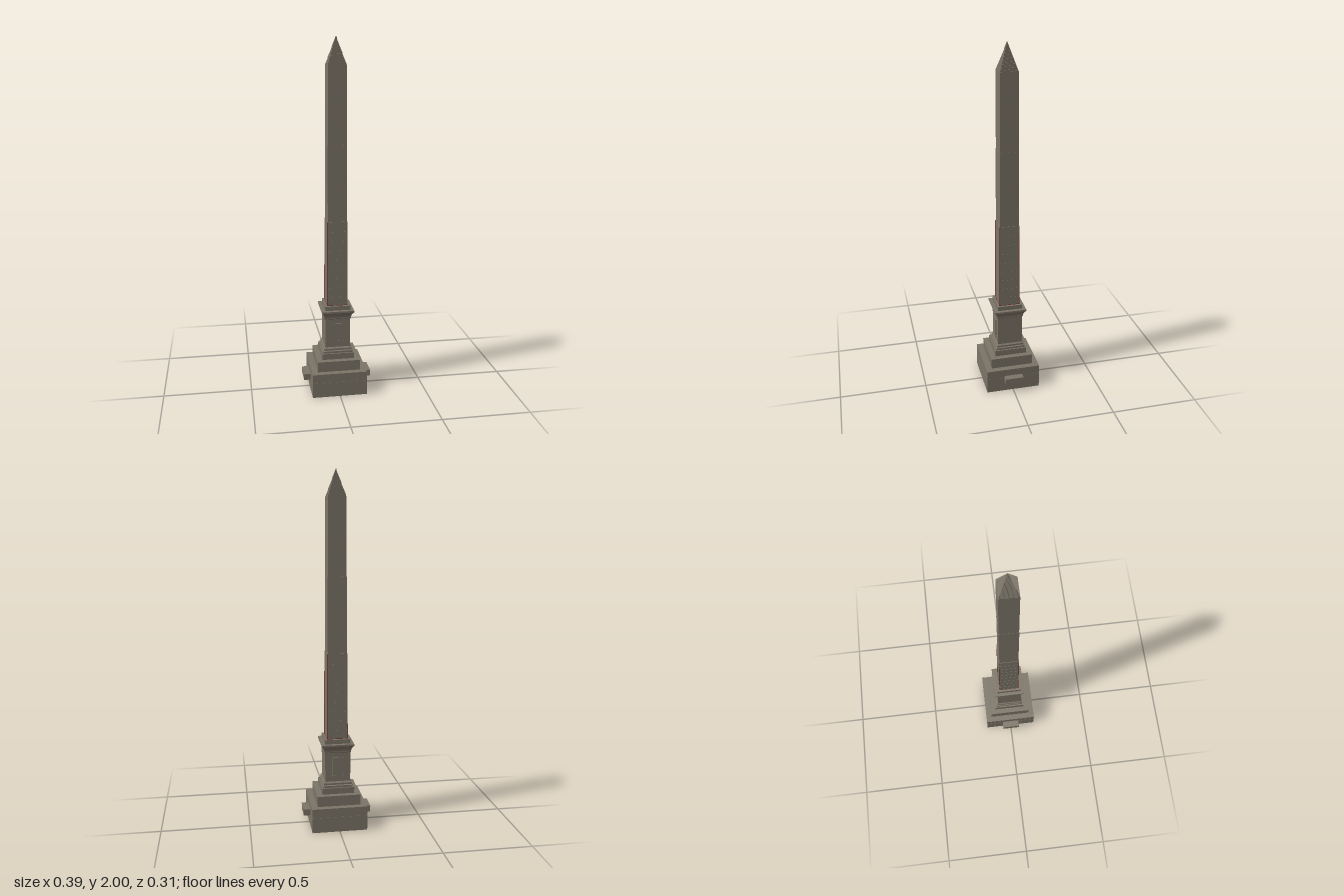
import * as THREE from 'three';

const stone = new THREE.MeshStandardMaterial({ color: 0x7b7467 });
stone.name = 'weathered stone';
const red = new THREE.MeshStandardMaterial({ color: 0x7a1f1a });
red.name = 'dark red trim';

// Square solid of revolution: profile is [half width, y] from bottom to top
function squareLathe(name, profile, material = stone) {
  const points = profile.map(([w, y]) => new THREE.Vector2(w * Math.SQRT2, y));
  const geometry = new THREE.LatheGeometry(points, 4, Math.PI / 4).toNonIndexed();
  geometry.computeVertexNormals();
  const mesh = new THREE.Mesh(geometry, material);
  mesh.name = name;
  return mesh;
}

function box(name, w, h, d, x, y, z, material = stone) {
  const mesh = new THREE.Mesh(new THREE.BoxGeometry(w, h, d), material);
  mesh.name = name;
  mesh.position.set(x, y, z);
  return mesh;
}

export function createModel() {
  const group = new THREE.Group();
  group.name = 'obelisk';
  const body = new THREE.Group();
  body.name = 'monument';
  body.position.set(-0.0015, 0, -0.001);
  group.add(body);

  // Stepped base, the lowest tier with a grooved joint
  body.add(
    squareLathe('baseTier', [
      [0, 0], [0.1565, 0], [0.1565, 0.087], [0.1553, 0.087], [0.1553, 0.09],
      [0.1565, 0.09], [0.1565, 0.14], [0, 0.14],
    ]),
    box('secondStep', 0.245, 0.06, 0.245, 0, 0.17, 0),
    box('thirdStep', 0.184, 0.035, 0.184, 0, 0.2175, 0),
  );

  // Projecting blocks on the two sides
  for (const s of [-1, 1]) {
    body.add(box('sideBlock', 0.05, 0.036, 0.105, s * 0.1695, 0.081, 0));
  }

  // Pedestal with foot moulding and hollow cornice
  body.add(squareLathe('pedestal', [
    [0, 0.235], [0.084, 0.235], [0.084, 0.246], [0.079, 0.25], [0.079, 0.26],
    [0.072, 0.268], [0.072, 0.438], [0.076, 0.442], [0.076, 0.45],
    [0.079, 0.462], [0.085, 0.473], [0.092, 0.48], [0.092, 0.49], [0, 0.49],
  ]));
  body.add(box('shaftPlinth', 0.144, 0.025, 0.144, 0, 0.5025, 0));

  // Framed tablets on the front and back of the pedestal
  for (const s of [-1, 1]) {
    body.add(box('tablet', 0.064, 0.106, 0.006, 0, 0.357, s * 0.0745));
    body.add(box('tabletSill', 0.07, 0.008, 0.008, 0, 0.303, s * 0.075));
  }

  // Lower shaft: courses parted by shallow grooves
  const courses = 9, bottom = 0.515, top = 1.005;
  const h = (top - bottom) / courses;
  const low = 0.0582, high = 0.0562;
  const widthAt = y => low + (high - low) * (y - bottom) / (top - bottom);
  const shaft = [[0, bottom]];
  for (let i = 0; i < courses; i++) {
    const y0 = bottom + i * h, y1 = y0 + h;
    shaft.push([widthAt(y0), y0]);
    if (i < courses - 1) {
      const y = y1 - 0.003, groove = widthAt(y) - 0.001;
      shaft.push([widthAt(y), y], [groove, y], [groove, y1]);
    }
  }
  shaft.push([high, top], [0, top]);
  body.add(squareLathe('lowerShaft', shaft));

  // Fine red trim down the four corners and around the foot
  const lean = (low - high) / (top - bottom);
  const mid = (low + high) / 2;
  for (const sx of [-1, 1]) for (const sz of [-1, 1]) {
    const trim = box('cornerTrim', 0.002, top - bottom, 0.002,
      sx * mid, (top + bottom) / 2, sz * mid, red);
    trim.rotation.set(-sz * lean, 0, sx * lean);
    body.add(trim);
  }
  body.add(squareLathe('footTrim', [
    [0, 0.515], [0.0592, 0.515], [0.0592, 0.517], [0, 0.517],
  ], red));

  // Middle and upper shaft
  body.add(squareLathe('middleShaft', [
    [0, 1.0], [0.0535, 1.0], [0.0525, 1.43], [0, 1.43],
  ]));
  body.add(squareLathe('upperShaft', [
    [0, 1.43], [0.0515, 1.43], [0.0505, 1.85], [0, 1.85],
  ]));

  // Pointed cap in fine steps
  const steps = 24, cap = [];
  for (let i = 0; i < steps; i++) {
    const w = 0.0505 * (1 - i / steps);
    cap.push([w, 1.85 + 0.15 * i / steps], [w, 1.85 + 0.15 * (i + 1) / steps]);
  }
  cap.push([0, 2]);
  body.add(squareLathe('pointedCap', cap));

  return group;
}
